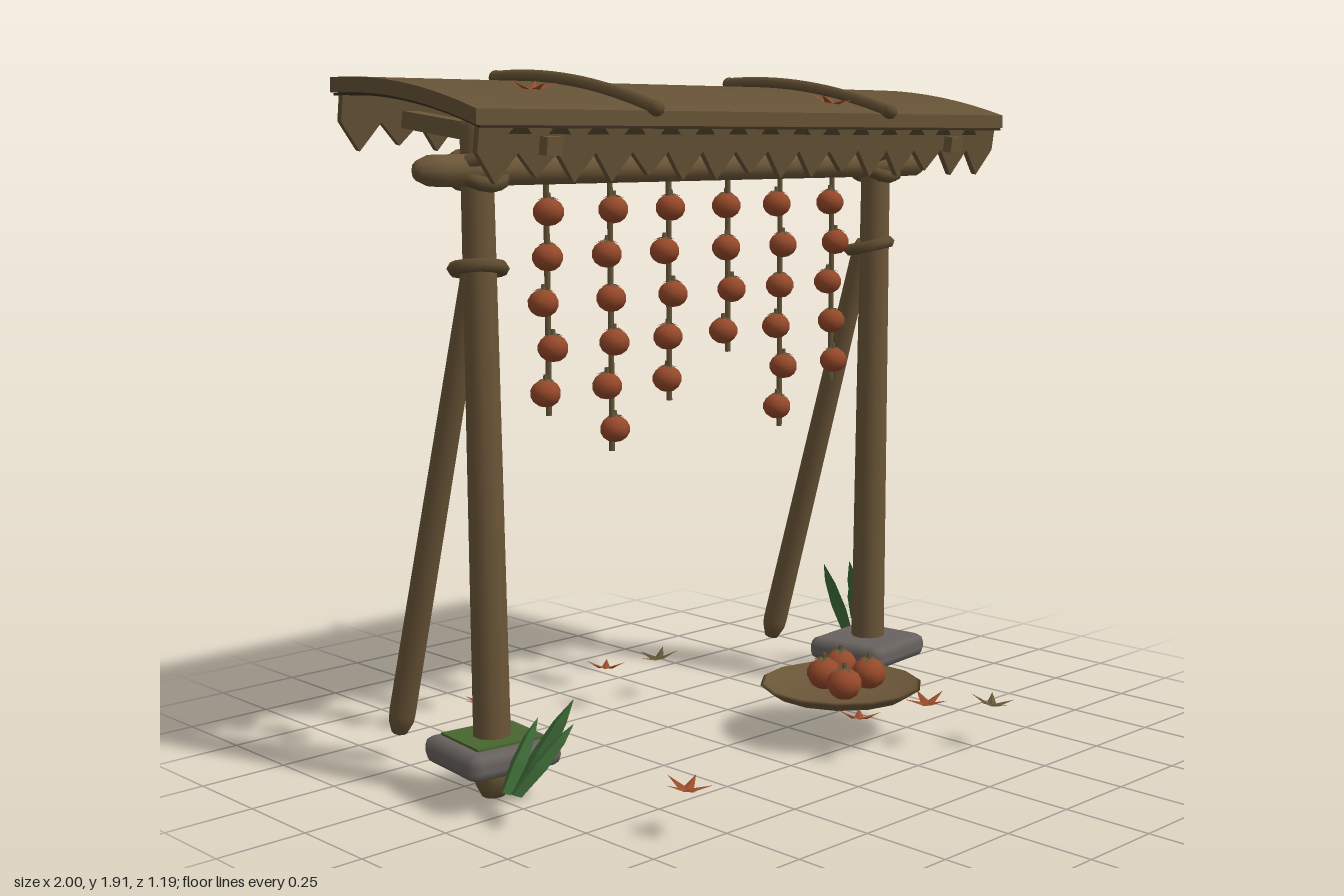
import * as THREE from 'three';
import { toCreasedNormals } from 'three/addons/utils/BufferGeometryUtils.js';
import { RoundedBoxGeometry } from 'three/addons/geometries/RoundedBoxGeometry.js';

const V = (x, y, z) => new THREE.Vector3(x, y, z);
const mat = (name, color, double = false) => {
  const m = new THREE.MeshStandardMaterial({ color, side: double ? THREE.DoubleSide : THREE.FrontSide });
  m.name = name;
  return m;
};

export function createModel() {
  const model = new THREE.Group();
  model.name = 'fruitDryingRack';
  const wood = mat('wood', 0x6b5638);
  const bark = mat('roof bark', 0x655236, true);
  const shade = mat('dark underside', 0x382c1d, true);
  const rope = mat('rope', 0x5f4c30);
  const fruit = mat('fruit orange', 0x96492a);
  const olive = mat('dry olive', 0x655538, true);
  const rust = mat('rust leaf', 0x9a4c2c, true);
  const green = mat('green blade', 0x41703a, true);
  const moss = mat('moss', 0x48662f);
  const stone = mat('stone', 0x68625f);

  const add = (name, geo, material, parent = model) => {
    const m = new THREE.Mesh(geo, material);
    m.name = name;
    parent.add(m);
    return m;
  };

  // Round-ended pole between two points
  const pole = (name, a, b, r0, r1, material = wood) => {
    const d = b.clone().sub(a), L = d.length();
    const pts = [[0, 0], [r0 * 0.6, 0.008], [r0 * 0.95, 0.045], [r0, 0.07], [r1, L - 0.03], [r1 * 0.75, L - 0.004], [0, L]];
    const m = add(name, new THREE.LatheGeometry(pts.map(p => new THREE.Vector2(...p)), 10), material);
    m.position.copy(a);
    m.quaternion.setFromUnitVectors(V(0, 1, 0), d.normalize());
    return m;
  };

  const ring = (name, x, y, z, r, tilt, lean) => {
    const m = add(name, new THREE.TorusGeometry(r, 0.019, 6, 12), rope);
    m.position.set(x, y, z);
    m.rotation.set(Math.PI / 2 + tilt, lean, 0);
    return m;
  };

  // Posts, braces, rafters, lashings and foot stones
  for (const s of [-1, 1]) {
    pole('post', V(s * 0.75, 0, -0.125), V(s * 0.768, 1.79, -0.125), 0.052, 0.043);
    pole('brace', V(s * 0.75, 0.08, -0.55), V(s * 0.755, 1.42, -0.155), 0.038, 0.032);
    const rafter = add('rafter', new THREE.BoxGeometry(0.05, 0.045, 0.62), wood);
    rafter.position.set(s * 0.77, 1.745, -0.12);
    rafter.rotation.x = 0.115;
    ring('braceLashing', s * 0.757, 1.4, -0.14, 0.062, -0.18, s * 0.12);
    ring('beamLashing', s * 0.765, 1.65, -0.12, 0.066, 0.6, 0);
    ring('beamLashing', s * 0.765, 1.65, -0.12, 0.066, -0.6, 0);
    const foot = add('footStone', new RoundedBoxGeometry(0.28, 0.075, 0.27, 1, 0.03), stone);
    foot.position.set(s * 0.75, 0.13, -0.125);
    foot.rotation.y = s * 0.12;
  }
  const mossPad = add('mossPad', new THREE.BoxGeometry(0.2, 0.008, 0.19), moss);
  mossPad.position.set(-0.75, 0.17, -0.125);
  mossPad.rotation.y = -0.12;
  pole('crossBeam', V(-0.965, 1.65, -0.115), V(0.965, 1.65, -0.115), 0.042, 0.038);

  // Crowned, sloping roof sheet
  const roofY = z => {
    const t = (z + 0.12) / 0.3;
    return 1.84 - 0.042 * t + 0.025 * (1 - t * t);
  };
  const sheet = (top, bottom, halfX) => {
    const upper = [], lower = [];
    for (let i = 0; i <= 10; i++) {
      const z = 0.18 - i * 0.06;
      upper.push(new THREE.Vector2(-z, roofY(z) - top));
      lower.unshift(new THREE.Vector2(-z, roofY(z) - bottom));
    }
    const g = new THREE.ExtrudeGeometry(new THREE.Shape([...upper, ...lower]), { depth: halfX * 2, bevelEnabled: false });
    g.translate(0, 0, -halfX).rotateY(Math.PI / 2);
    return toCreasedNormals(g, 0.6);
  };
  add('roofSheet', sheet(0, 0.038, 1), bark);
  add('roofUnderside', sheet(0.039, 0.045, 0.99), shade);

  // Saw-toothed fringes under the front and back edges
  const teeth = 16, half = 0.98, step = 2 * half / teeth;
  const outline = new THREE.Shape().moveTo(-half, 0).lineTo(-half, -0.09);
  for (let i = 0; i < teeth; i++) {
    const x = -half + i * step;
    outline.lineTo(x + step / 2, i % 3 === 1 ? -0.15 : -0.165).lineTo(x + step, -0.09);
  }
  outline.lineTo(half, 0);
  for (const [z, y, face] of [[0.16, 1.785, 1], [-0.4, 1.86, -1]]) {
    const fringe = new THREE.Group();
    fringe.name = 'fringe';
    fringe.position.set(0, y, z);
    fringe.rotation.x = 0.15;
    model.add(fringe);
    add('fringeBand', new THREE.ExtrudeGeometry(outline, { depth: 0.018, bevelEnabled: false }).translate(0, 0, -0.009), bark, fringe);
    for (let i = 1; i < teeth; i++) {
      const x = -half + i * step;
      const notch = new THREE.Shape([[-0.036, -0.045], [0.036, -0.045], [0, -0.008]].map(p => new THREE.Vector2(...p)));
      add('fringeNotch', new THREE.ShapeGeometry(notch).translate(x, 0, face * 0.011), shade, fringe);
    }
  }

  // Ropes holding the roof down
  for (const x of [-0.45, 0.45]) {
    const pts = [0.2, 0.1, -0.05, -0.2, -0.34, -0.445].map(z => V(x, roofY(z) + 0.012, z));
    add('roofTie', new THREE.TubeGeometry(new THREE.CatmullRomCurve3(pts), 16, 0.019, 7), rope);
    for (const p of [pts[0], pts[5]]) add('roofTieEnd', new THREE.SphereGeometry(0.021, 8, 6), rope).position.copy(p);
  }

  // Persimmon-like fruit with a small star calyx
  const star = (points, r, inner, curl) => {
    const pos = [0, 0, 0], idx = [], n = points * 2;
    for (let i = 0; i < n; i++) {
      const a = i / n * Math.PI * 2, d = i % 2 ? inner : r;
      pos.push(Math.sin(a) * d, i % 2 ? 0 : curl, Math.cos(a) * d);
      idx.push(0, i + 1, (i + 1) % n + 1);
    }
    const g = new THREE.BufferGeometry();
    g.setAttribute('position', new THREE.Float32BufferAttribute(pos, 3));
    g.setIndex(idx);
    const flat = g.toNonIndexed();
    flat.computeVertexNormals();
    return flat;
  };
  const addFruit = (x, y, z, r) => {
    const g = new THREE.Group();
    g.name = 'fruit';
    g.position.set(x, y, z);
    g.rotation.y = x * 17 + y * 9;
    model.add(g);
    add('fruitBody', new THREE.SphereGeometry(r, 9, 7).scale(1, 0.88, 1), fruit, g);
    add('calyx', star(4, r * 0.75, r * 0.3, -r * 0.2), olive, g).position.y = r * 0.92;
    add('stem', new THREE.CylinderGeometry(0.006, 0.008, r * 0.4, 5), olive, g).position.y = r;
  };

  // Hanging strings
  [[-0.555, 5], [-0.335, 6], [-0.12, 5], [0.11, 4], [0.325, 6], [0.55, 5]].forEach(([x, count], s) => {
    const end = 1.54 - (count - 1) * 0.119 - 0.06;
    const cord = add('cord', new THREE.CylinderGeometry(0.008, 0.008, 1.65 - end, 6), olive);
    cord.position.set(x, (1.65 + end) / 2, -0.11);
    for (let i = 0; i < count; i++) {
      addFruit(x + 0.011 * Math.sin(i * 2.6 + s), 1.54 - i * 0.119, -0.11 + 0.008 * Math.cos(i * 2 + s), 0.042);
    }
  });

  // Shallow tray with fruit
  const bowl = [[0, 0.108], [0.12, 0.112], [0.2, 0.13], [0.237, 0.155], [0.225, 0.16], [0.19, 0.142], [0.1, 0.13], [0, 0.128]];
  add('tray', new THREE.LatheGeometry(bowl.map(p => new THREE.Vector2(...p)), 14), wood).position.set(0.312, 0, 0.155);
  for (const [x, z] of [[0.26, 0.215], [0.395, 0.19], [0.3, 0.1], [0.4, 0.075]]) addFruit(x, 0.175, z, 0.052);

  // Fallen leaves
  const leaf = (x, y, z, material, tilt = 0) => {
    const m = add('fallenLeaf', star(5, 0.065, 0.022, 0.018), material);
    m.position.set(x, y, z);
    m.rotation.set(tilt, x * 11 + z * 5, 0.12);
  };
  for (const [x, z] of [[-0.49, -0.5], [0, -0.53], [-0.59, 0.45], [0.16, 0.36], [0.41, 0.4]]) leaf(x, 0.125, z, rust);
  for (const [x, z] of [[0.19, -0.5], [0.53, 0.54]]) leaf(x, 0.125, z, olive);
  for (const [x, z] of [[-0.72, 0.04], [0.28, 0.13]]) leaf(x, roofY(z) + 0.014, z, rust, 0.2);

  // Broad folded grass blades, each running from a base to a tip
  const blade = (base, tip, width) => {
    const side = V(0, 0, 1), pos = [], idx = [];
    const fold = V(Math.sign(base.x) * 0.014, 0.005, 0);
    [[0, 0.7], [0.4, 1], [0.75, 0.7], [1, 0.02]].forEach(([t, w], i) => {
      const c = base.clone().lerp(tip, t);
      for (const k of [-1, 0, 1]) {
        const p = c.clone().addScaledVector(side, k * w * width / 2);
        if (!k) p.addScaledVector(fold, w);
        pos.push(p.x, p.y, p.z);
      }
      if (i) for (const k of [0, 1]) {
        const a = (i - 1) * 3 + k, b = i * 3 + k;
        idx.push(a, a + 1, b, a + 1, b + 1, b);
      }
    });
    const g = new THREE.BufferGeometry();
    g.setAttribute('position', new THREE.Float32BufferAttribute(pos, 3));
    g.setIndex(idx);
    const flat = g.toNonIndexed();
    flat.computeVertexNormals();
    add('grassBlade', flat, green);
  };
  blade(V(0.91, 0.09, -0.27), V(0.825, 0.37, -0.27), 0.075);
  blade(V(0.95, 0.08, -0.315), V(0.87, 0.28, -0.31), 0.065);
  blade(V(0.92, 0.09, -0.355), V(0.84, 0.34, -0.395), 0.065);
  blade(V(-0.82, 0.08, 0.07), V(-0.71, 0.32, 0.16), 0.07);
  blade(V(-0.86, 0.09, 0.11), V(-0.74, 0.27, 0.195), 0.06);
  blade(V(-0.85, 0.08, 0.055), V(-0.73, 0.25, 0.04), 0.06);

  return model;
}
